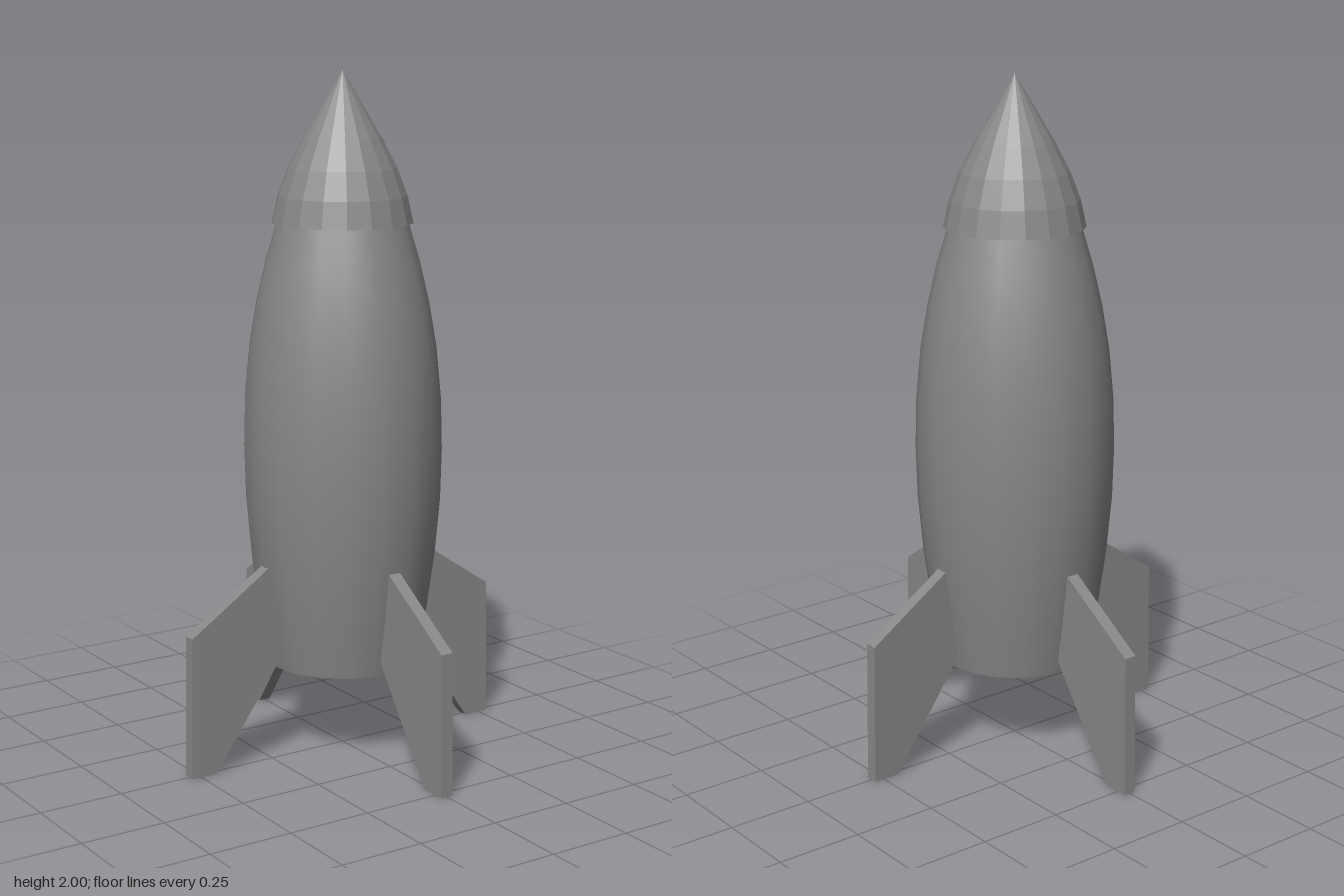
import * as THREE from 'three';

const SIDES = 18;

// Turn a [radius, height] profile around y, with a corner on the x axis
function turned(name, profile, material) {
  const points = profile.map(([r, y]) => new THREE.Vector2(r, y));
  const mesh = new THREE.Mesh(new THREE.LatheGeometry(points, SIDES, Math.PI / 2), material);
  mesh.name = name;
  return mesh;
}

// Flat disc closing the hull or nose from below
function disc(name, radius, y, material) {
  const mesh = new THREE.Mesh(new THREE.CircleGeometry(radius, SIDES), material);
  mesh.rotation.x = Math.PI / 2;
  mesh.position.y = y;
  mesh.name = name;
  return mesh;
}

export function createModel() {
  const smooth = new THREE.MeshStandardMaterial({ color: 0x888888 });
  const flat = new THREE.MeshStandardMaterial({ color: 0x888888, flatShading: true });
  const rocket = new THREE.Group();
  rocket.name = 'rocket';

  // Barrel-shaped hull
  rocket.add(turned('hull', [
    [0.224, 0.273], [0.25, 0.43], [0.272, 0.59], [0.287, 0.76], [0.291, 0.91],
    [0.287, 1.06], [0.273, 1.21], [0.251, 1.34], [0.223, 1.46], [0.187, 1.58],
  ], smooth));
  rocket.add(disc('hullBase', 0.224, 0.273, flat));

  // Faceted nose cone overhanging the hull
  rocket.add(turned('noseCone', [
    [0.204, 1.568], [0.187, 1.645], [0.157, 1.725], [0.113, 1.81], [0, 2],
  ], flat));
  rocket.add(disc('noseRim', 0.204, 1.568, flat));

  // Four swept fins that double as landing legs
  const thickness = 0.038;
  const outline = [[0.215, 0.33], [0.45, 0], [0.53, 0], [0.523, 0.418], [0.27, 0.586], [0.24, 0.606]];
  const finGeometry = new THREE.ExtrudeGeometry(
    new THREE.Shape(outline.map(([x, y]) => new THREE.Vector2(x, y))),
    { depth: thickness, bevelEnabled: false },
  ).translate(0, 0, -thickness / 2);
  ['leftFin', 'backFin', 'rightFin', 'frontFin'].forEach((name, i) => {
    const fin = new THREE.Mesh(finGeometry, flat);
    fin.rotation.y = i * Math.PI / 2;
    fin.name = name;
    rocket.add(fin);
  });

  return rocket;
}
